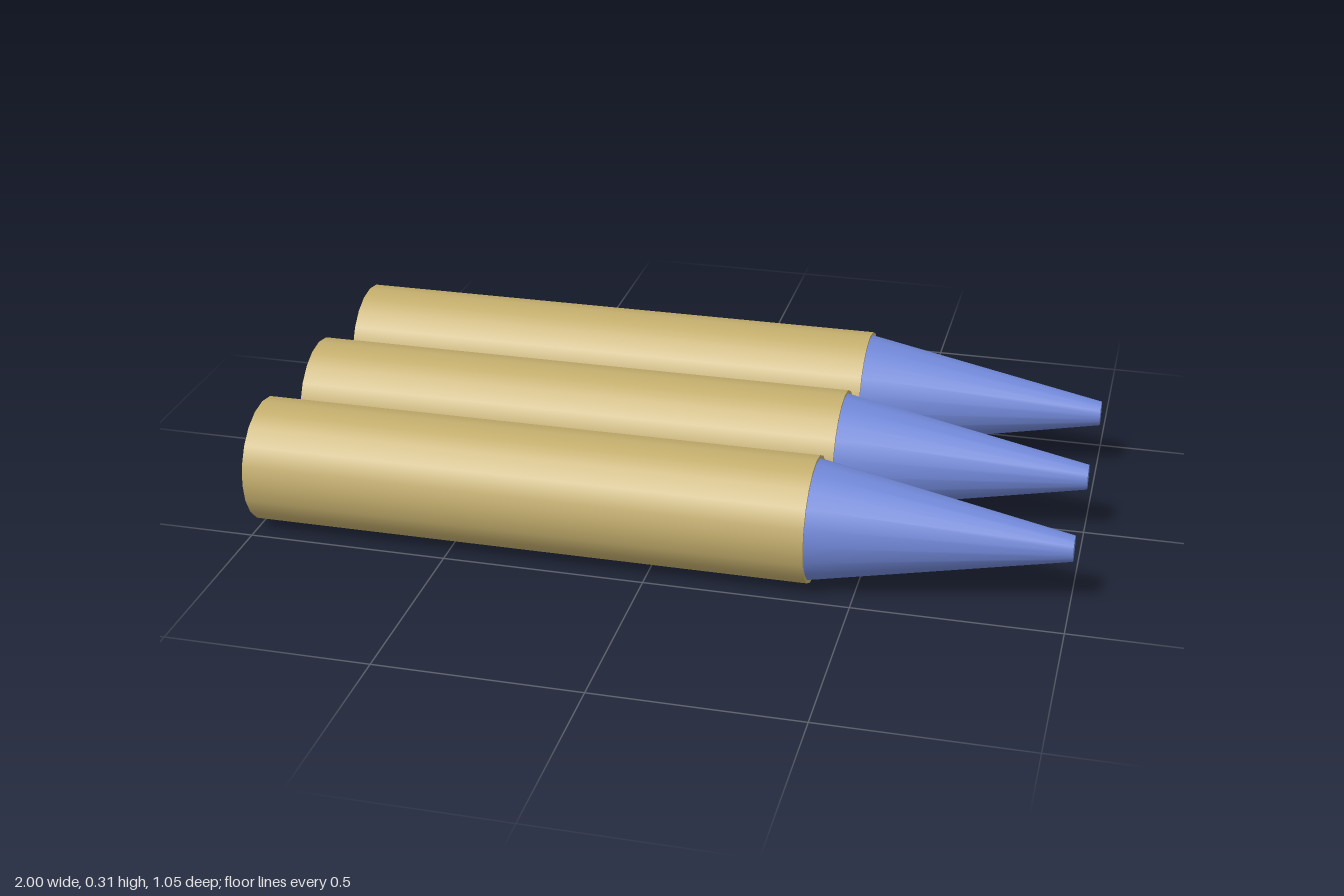
import * as THREE from 'three';

const SIDES = 20;
const RADIUS = 0.154;
const SHOULDER = 0.39; // x where the casing ends and the tapered tip begins

export function createModel() {
  const model = new THREE.Group();
  model.name = 'roundSet';

  const brass = new THREE.MeshStandardMaterial({ color: 0xc4ae6d });
  brass.name = 'brass';
  const blue = new THREE.MeshStandardMaterial({ color: 0x7289da });
  blue.name = 'blue';

  // Round section lying along x, from x0 to x1
  const section = (name, r0, r1, x0, x1, material) => {
    const geometry = new THREE.CylinderGeometry(r1, r0, x1 - x0, SIDES);
    geometry.rotateZ(-Math.PI / 2);
    const mesh = new THREE.Mesh(geometry, material);
    mesh.name = name;
    mesh.position.x = (x0 + x1) / 2;
    return mesh;
  };

  // Three identical rounds side by side
  [['right', -0.372], ['middle', 0], ['left', 0.372]].forEach(([, z], i) => {
    const round = new THREE.Group();
    round.name = `round${i + 1}`;
    round.add(
      section('casing', RADIUS, RADIUS, -1, SHOULDER, brass),
      section('taperedTip', 0.146, 0.031, SHOULDER, 1, blue)
    );
    round.position.set(0, RADIUS, z);
    model.add(round);
  });

  return model;
}
